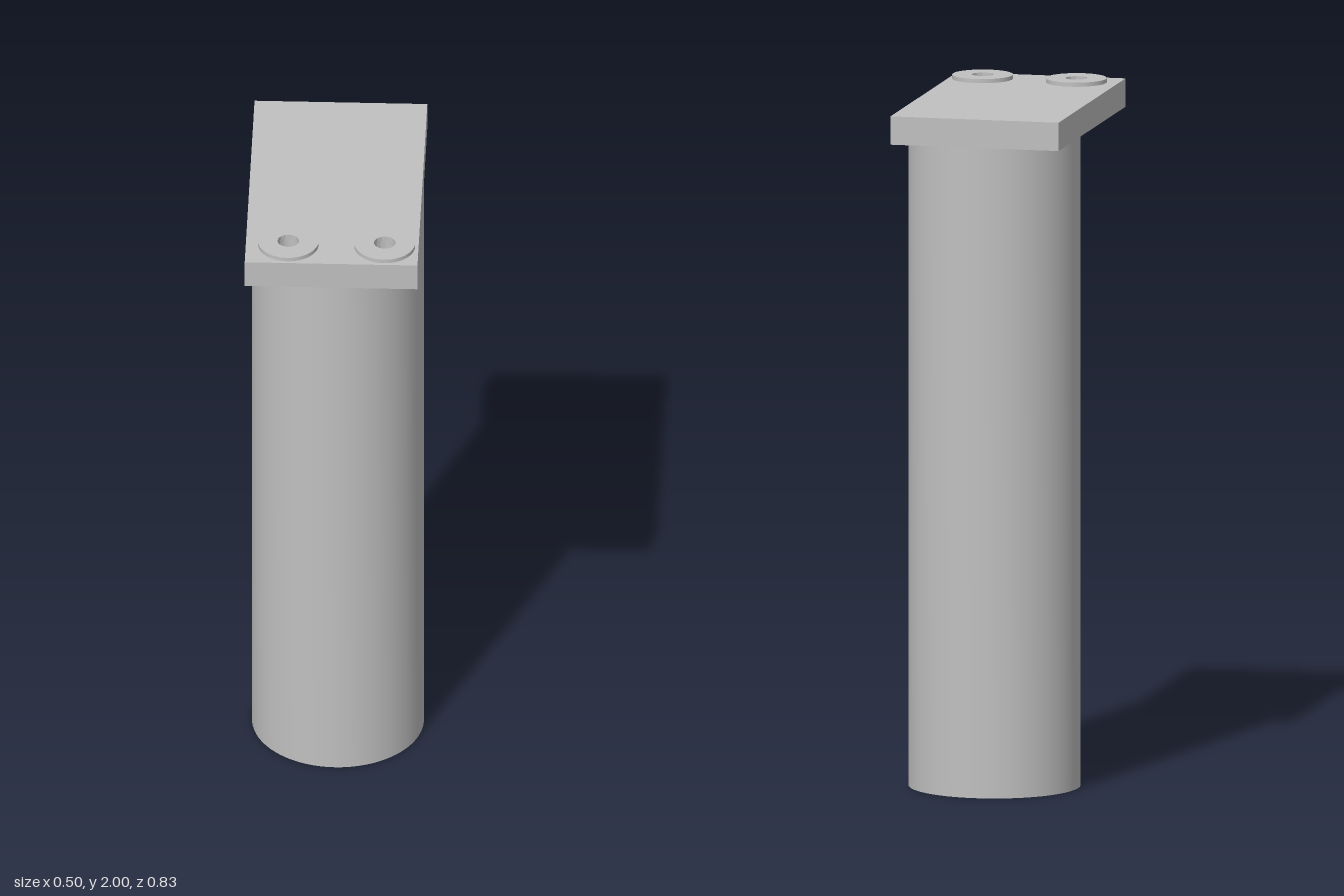
import * as THREE from 'three';
import { toCreasedNormals } from 'three/addons/utils/BufferGeometryUtils.js';

const PLATE_TOP = 1.988, PLATE_BOTTOM = 1.905;
const HOLE_RADIUS = 0.031;
const HOLES = [[-0.127, 0.318], [0.152, 0.318]]; // x, z

// Hollow cylinder with sharp rims, standing on y = 0
function ring(inner, outer, height) {
  const profile = [[inner, 0], [outer, 0], [outer, height], [inner, height], [inner, 0]]
    .map(([r, y]) => new THREE.Vector2(r, y));
  return toCreasedNormals(new THREE.LatheGeometry(profile, 72), 0.6);
}

export function createModel() {
  const group = new THREE.Group();
  const metal = new THREE.MeshStandardMaterial({ color: 0xc0c0c0 });
  metal.name = 'greyMetal';

  const add = (name, geometry, x, y, z) => {
    const mesh = new THREE.Mesh(geometry, metal);
    mesh.name = name;
    mesh.position.set(x, y, z);
    group.add(mesh);
  };

  // Thick-walled post, flush with the plate on three sides
  add('post', ring(0.11, 0.249, PLATE_BOTTOM), 0, 0, -0.166);

  // Mounting plate with two through holes
  const outline = new THREE.Shape([[-0.25, -0.415], [0.25, -0.415], [0.25, 0.415], [-0.25, 0.415]]
    .map(([x, z]) => new THREE.Vector2(x, z)));
  for (const [x, z] of HOLES) {
    outline.holes.push(new THREE.Path().absarc(x, z, HOLE_RADIUS, 0, Math.PI * 2, true));
  }
  const plate = new THREE.ExtrudeGeometry(outline, {
    depth: PLATE_TOP - PLATE_BOTTOM, bevelEnabled: false, curveSegments: 36,
  }).rotateX(Math.PI / 2);
  add('mountingPlate', toCreasedNormals(plate, 0.6), 0, PLATE_TOP, 0);

  // Washers around the holes
  HOLES.forEach(([x, z], i) => {
    add(i ? 'leftWasher' : 'rightWasher', ring(HOLE_RADIUS, 0.088, 2 - PLATE_TOP), x, PLATE_TOP, z);
  });

  return group;
}
